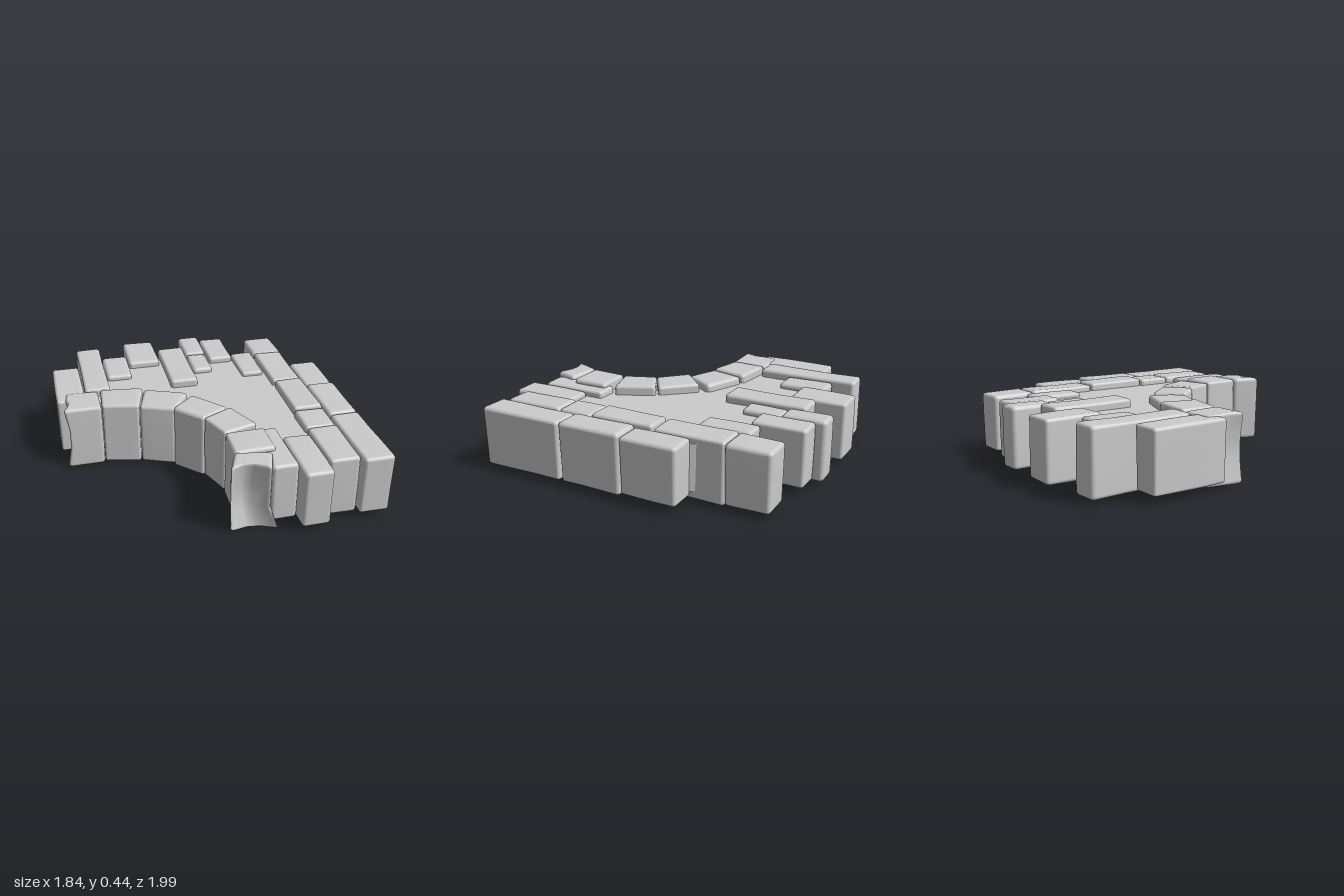
import * as THREE from 'three';
import { mergeVertices } from 'three/addons/utils/BufferGeometryUtils.js';

const material = new THREE.MeshStandardMaterial({ color: 0xcccccc, roughness: 0.9 });
const SEG = 7;

// Rounded, slightly worn stone standing on a four-cornered plan: [x, z] corners a, b, c, d.
// u runs a to b, v runs a to d. "wear" may move points further, given u, v, height fraction.
function stoneGeometry([a, b, c, d], y0, y1, seed, wear) {
  const dist = (p, q) => Math.hypot(p[0] - q[0], p[1] - q[1]);
  const w = (dist(a, b) + dist(d, c)) / 2;
  const l = (dist(a, d) + dist(b, c)) / 2;
  const half = [w / 2, (y1 - y0) / 2, l / 2];
  const r = 0.028;
  // Grid lines gathered near the edges so the rounding is smooth
  const lines = half.map((h) => {
    const s = [h, h - 0.59 * r, h - r, (h - r) / 3];
    return [...s.map((v) => -v), ...s.reverse()];
  });
  let geo = new THREE.BoxGeometry(1, 1, 1, SEG, SEG, SEG);
  geo.deleteAttribute('uv');
  geo.deleteAttribute('normal');
  geo = mergeVertices(geo, 1e-4);
  const pos = geo.attributes.position;
  const p = new THREE.Vector3(), q = new THREE.Vector3();
  for (let i = 0; i < pos.count; i++) {
    p.fromArray([pos.getX(i), pos.getY(i), pos.getZ(i)]
      .map((v, k) => lines[k][Math.round((v + 0.5) * SEG)]));
    q.fromArray(p.toArray().map((v, k) => THREE.MathUtils.clamp(v, r - half[k], half[k] - r)));
    p.sub(q).setLength(r);
    // Shallow chisel waves, inward only
    const wave = Math.sin(q.x * 9 + seed * 1.7) + Math.sin(q.y * 8 + seed * 2.9) + Math.sin(q.z * 10 + seed * 4.1);
    p.multiplyScalar(1 - 0.08 * (wave + 3)).add(q);

    const u = p.x / w + 0.5, v = p.z / l + 0.5, t = p.y / (y1 - y0) + 0.5;
    const mix = (k) => (a[k] * (1 - u) + b[k] * u) * (1 - v) + (d[k] * (1 - u) + c[k] * u) * v;
    const out = new THREE.Vector3(mix(0), y0 + t * (y1 - y0), mix(1));
    if (wear) wear(out, u, v, t);
    pos.setXYZ(i, out.x, out.y, out.z);
  }
  geo.computeVertexNormals();
  return geo;
}

export function createModel() {
  const group = new THREE.Group();
  const add = (name, geo) => {
    const mesh = new THREE.Mesh(geo, material);
    mesh.name = name;
    group.add(mesh);
  };

  // Mortar core filling the space between the stones
  const core = new THREE.Shape();
  [[-0.8, -0.2], [-0.8, -0.4], [-0.65, -0.5], [-0.47, -0.67], [-0.27, -0.75], [0.1, -0.78],
    [0.27, -0.72], [0.44, -0.5], [0.62, -0.6], [0.8, -0.28], [0.82, 0.8], [0.25, 0.8],
    [0.14, 0.6], [0.1, 0.36], [-0.02, 0.13], [-0.24, -0.04], [-0.5, -0.13]]
    .forEach(([x, z], i) => (i ? core.lineTo(x, -z) : core.moveTo(x, -z)));
  const coreGeo = new THREE.ExtrudeGeometry(core, { depth: 0.29, bevelEnabled: false });
  coreGeo.rotateX(-Math.PI / 2).translate(0, 0.09, 0);
  add('mortarCore', coreGeo);

  // Wall blocks: x0, x1, z0, z1, bottom, top
  const blocks = [
    [-0.925, -0.73, -0.665, -0.15, 0.04, 0.43],
    [-0.735, -0.555, -0.925, -0.255, 0.03, 0.44],
    [-0.56, -0.38, -0.78, -0.46, 0.05, 0.42],
    [-0.385, -0.155, -1.0, -0.625, 0.04, 0.43],
    [-0.155, 0.04, -0.815, -0.26, 0.03, 0.44],
    [0.035, 0.19, -0.99, -0.7, 0.04, 0.43],
    [0.04, 0.185, -0.71, -0.445, 0.05, 0.42],
    [0.185, 0.365, -0.935, -0.58, 0.05, 0.43],
    [0.355, 0.52, -0.665, -0.315, 0.05, 0.42],
    [0.52, 0.73, -0.88, -0.595, 0.04, 0.42],
    [0.52, 0.73, -0.605, -0.14, 0.03, 0.43],
    [0.72, 0.915, -0.4, -0.025, 0.05, 0.42],
    [0.525, 0.725, -0.145, 0.285, 0.03, 0.44],
    [0.72, 0.915, -0.035, 0.385, 0.04, 0.43],
    [0.52, 0.725, 0.28, 0.52, 0.04, 0.43],
    [0.72, 0.92, 0.38, 0.945, 0.04, 0.43],
    [0.525, 0.725, 0.51, 0.91, 0.04, 0.43],
    [0.35, 0.535, 0.56, 1.0, 0.045, 0.42],
    [0.19, 0.36, 0.45, 0.9, 0.05, 0.43],
  ];
  blocks.forEach(([x0, x1, z0, z1, y0, y1], i) => {
    const plan = [[x0, z0], [x1, z0], [x1, z1], [x0, z1]];
    add(`wallBlock${i + 1}`, stoneGeometry(plan, y0, y1, i + 1));
  });

  // Broken faces at the two ends of the arch
  const chippedEnd = (p, u, v, t) => {
    const k = Math.max(0, 1 - u * 3);
    p.x += k * (0.045 * (1 - Math.abs(2 * t - 1)) - 0.02 * Math.sin(v * 7) * t);
  };
  const snappedEnd = (p, u, v, t) => {
    const k = Math.max(0, u * 2 - 1);
    const scoop = Math.sin(Math.PI * THREE.MathUtils.clamp(v, 0, 1));
    p.z -= k * (0.05 * scoop + 0.07 * Math.sin(Math.PI * THREE.MathUtils.clamp(t, 0, 1)) * scoop);
    p.x += k * 0.09 * Math.max(0, 1 - t * 4) * (1 - v);
    p.y -= k * 0.015 * (1 - v) * (1 - t);
  };

  // Wedge stones along the curved underside of the arch
  const wedges = [
    [[[-0.85, -0.26], [-0.64, -0.26], [-0.64, 0], [-0.895, 0]], 0.01, 0.44, chippedEnd],
    [[[-0.64, -0.26], [-0.345, -0.22], [-0.41, 0.04], [-0.655, -0.01]], 0.01, 0.445],
    [[[-0.35, -0.21], [-0.07, -0.09], [-0.2, 0.12], [-0.42, 0.035]], 0.015, 0.435],
    [[[-0.06, -0.05], [0.14, 0.17], [-0.06, 0.295], [-0.22, 0.115]], 0.01, 0.445],
    [[[0.14, 0.17], [0.26, 0.43], [0.015, 0.5], [-0.065, 0.28]], 0.015, 0.45],
    [[[0.275, 0.48], [0.275, 0.73], [0.01, 0.74], [0.015, 0.485]], 0.015, 0.455],
    [[[0.24, 0.76], [0.185, 0.935], [-0.055, 0.91], [0.015, 0.725]], 0.01, 0.455, snappedEnd],
  ];
  wedges.forEach(([plan, y0, y1, wear], i) => {
    add(`archStone${i + 1}`, stoneGeometry(plan, y0, y1, i + 30, wear));
  });

  return group;
}
